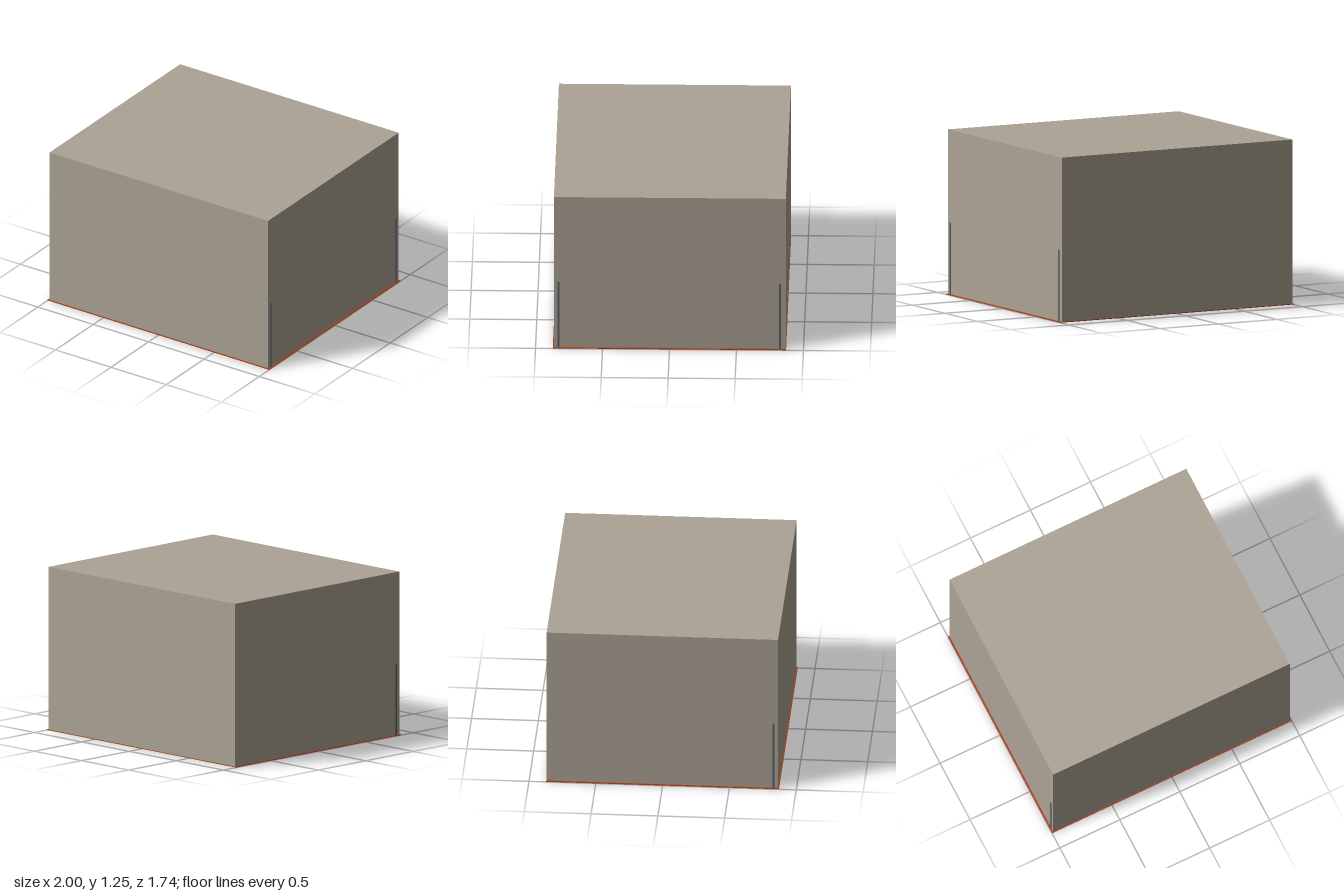
import * as THREE from 'three';

const mat = (name, color) => {
  const m = new THREE.MeshStandardMaterial({ color });
  m.name = name;
  return m;
};

export function createModel() {
  const group = new THREE.Group();
  const stone = mat('warm grey', 0xaca394);
  const clay = mat('clay red', 0xb03a10);
  const grass = mat('grass green', 0x6fa213);
  const steel = mat('steel grey', 0x59616a);

  // Box given by its lower and upper corners
  const box = (name, material, [x0, y0, z0], [x1, y1, z1]) => {
    const mesh = new THREE.Mesh(new THREE.BoxGeometry(x1 - x0, y1 - y0, z1 - z0), material);
    mesh.position.set((x0 + x1) / 2, (y0 + y1) / 2, (z0 + z1) / 2);
    mesh.name = name;
    group.add(mesh);
  };

  // Enclosing hall on a slightly wider ground slab
  box('hall', stone, [-0.988, 0.006, -0.869], [0.986, 1.245, 0.863]);
  box('ground', clay, [-1, 0.001, -0.871], [1, 0.006, 0.871]);

  // Playing field, seen on the underside of the slab
  box('field', grass, [-0.635, 0, -0.51], [0.635, 0.002, 0.51]);

  // Fence footings: two strips along each edge
  for (const s of [-1, 1]) {
    for (const t of [-1, 1]) {
      const along = (a, b) => [Math.min(a * t, b * t), Math.max(a * t, b * t)];
      const [xa, xb] = along(0.13, 0.86);
      const [za, zb] = along(0.1, 0.76);
      box('footingLong', steel, [xa, 0, s * 0.832 - 0.013], [xb, 0.002, s * 0.832 + 0.013]);
      box('footingShort', steel, [s * 0.962 - 0.013, 0, za], [s * 0.962 + 0.013, 0.002, zb]);
    }
    // Middle footing of each edge
    box('middleFootingLong', steel, [-0.02, 0, s * 0.832 - 0.013], [0.02, 0.002, s * 0.832 + 0.013]);
    box('middleFootingShort', steel, [s * 0.962 - 0.013, 0, -0.02], [s * 0.962 + 0.013, 0.002, 0.02]);
  }

  // Slim corner posts just breaking through the side walls
  for (const [x, z] of [[0.984, 0.828], [0.984, -0.825], [-0.986, 0.828]]) {
    box('cornerPost', steel, [x - 0.006, 0.002, z - 0.007], [x + 0.006, 0.545, z + 0.007]);
  }
  return group;
}
